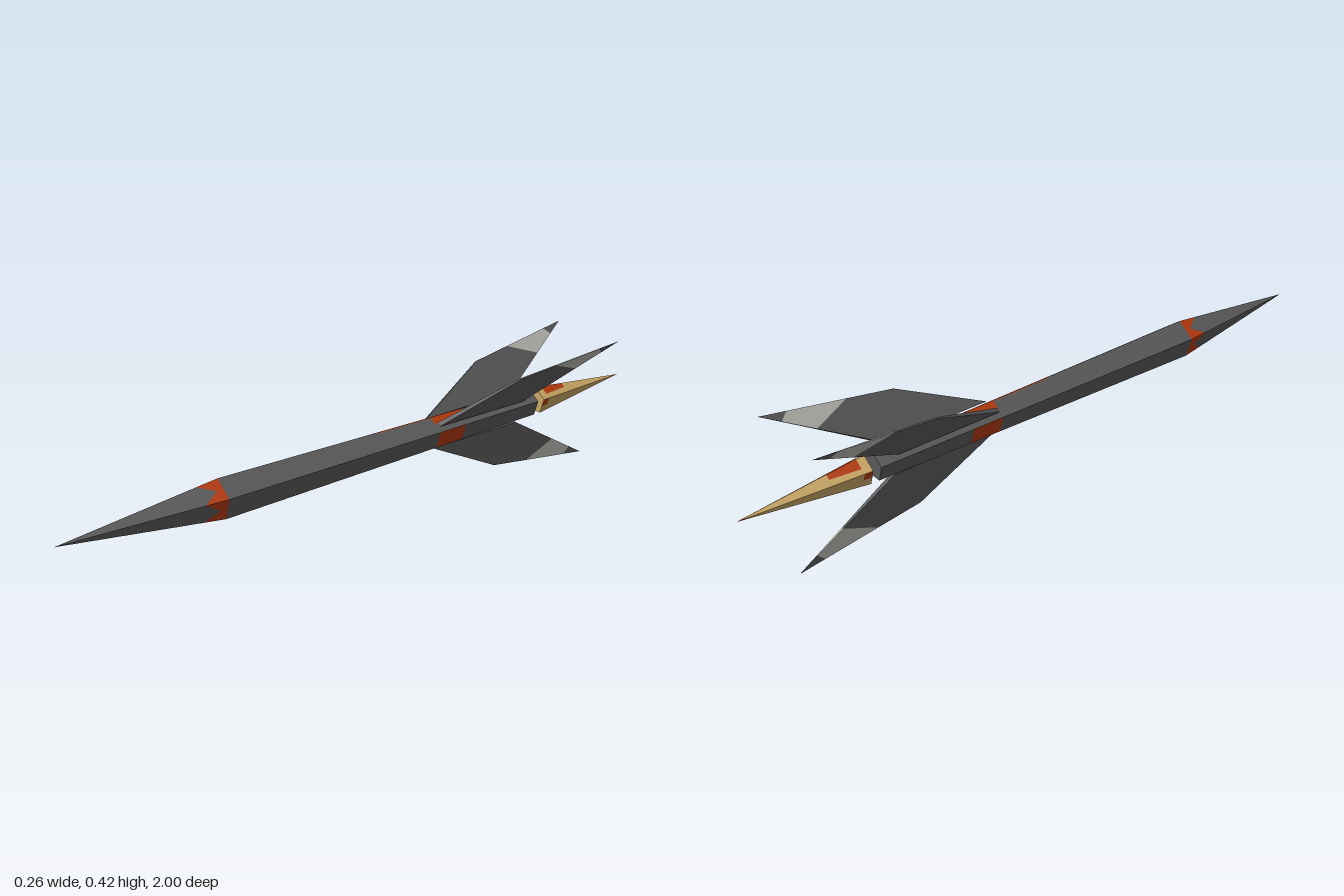
import * as THREE from 'three';
import { ConvexGeometry } from 'three/addons/geometries/ConvexGeometry.js';

const mat = (name, color) => {
  const m = new THREE.MeshStandardMaterial({ color });
  m.name = name;
  return m;
};

export function createModel() {
  const grey = mat('dark grey', 0x5a5a5a);
  const orange = mat('burnt orange', 0xb53a0e);
  const tan = mat('flame tan', 0xc8a664);
  const pale = mat('pale grey', 0xb6b6b0);
  const rocket = new THREE.Group();
  rocket.name = 'rocket';

  const addMesh = (parent, name, geometry, material) => {
    const mesh = new THREE.Mesh(geometry, material);
    mesh.name = name;
    parent.add(mesh);
  };

  // A five-sided tapered section along z; panels are drawn on its sides as
  // [u, z] corners, with u running 0..1 across side k (0 is the top right one).
  function section(name, [z0, r0, y0], [z1, r1, y1]) {
    const group = new THREE.Group();
    group.name = name;
    rocket.add(group);
    const lists = new Map();
    const point = (k, u, z) => {
      const f = (z - z0) / (z1 - z0);
      const r = r0 + (r1 - r0) * f;
      const corner = (i) => {
        const a = Math.PI / 2 - (i * Math.PI * 2) / 5;
        return new THREE.Vector3(Math.cos(a) * r, y0 + (y1 - y0) * f + Math.sin(a) * r, z);
      };
      return corner(k).lerp(corner(k + 1), u);
    };
    // Fan of triangles from the first corner, turned towards "outward"
    const fan = (material, pts, outward) => {
      if (!lists.has(material)) lists.set(material, []);
      const list = lists.get(material);
      for (let i = 1; i < pts.length - 1; i++) {
        const [a, b, c] = [pts[0], pts[i], pts[i + 1]];
        const n = b.clone().sub(a).cross(c.clone().sub(a));
        const tri = n.dot(outward) < 0 ? [a, c, b] : [a, b, c];
        tri.forEach((p) => list.push(p.x, p.y, p.z));
      }
    };
    return {
      panel(material, k, corners) {
        const out = point(k, 0.5, z0).sub(new THREE.Vector3(0, y0, z0));
        fan(material, corners.map(([u, z]) => point(k, u, z)), out);
      },
      cap(material, z, dir) {
        fan(material, [0, 1, 2, 3, 4].map((k) => point(k, 0, z)), new THREE.Vector3(0, 0, dir));
      },
      finish() {
        for (const [material, list] of lists) {
          const g = new THREE.BufferGeometry();
          g.setAttribute('position', new THREE.Float32BufferAttribute(list, 3));
          g.computeVertexNormals();
          addMesh(group, `${name} ${material.name}`, g, material);
        }
      },
    };
  }
  const strip = (za, zb, ua = 0, ub = 1) => [[ua, za], [ub, za], [ub, zb], [ua, zb]];
  const mirror = (k, pts) => (k === 4 ? pts.map(([u, z]) => [1 - u, z]) : pts);

  // Nose cone with a notched band round its base
  const nose = section('nose', [0.53, 0.059, 0.232], [1, 0, 0.237]);
  for (let k = 0; k < 5; k++) {
    nose.panel(orange, k, [[0.5, 0.55], [0, 0.595], [0, 0.53], [1, 0.53], [1, 0.595]]);
    nose.panel(grey, k, [[0.5, 1], [0, 0.595], [0.5, 0.55], [1, 0.595]]);
  }
  nose.finish();

  // Body tube
  const body = section('body', [0.53, 0.059, 0.232], [-0.6, 0.043, 0.236]);
  for (const k of [0, 4]) {
    const put = (m, pts) => body.panel(m, k, mirror(k, pts));
    put(grey, strip(0.53, 0));
    put(grey, strip(0, -0.2, 0.05, 1));
    put(orange, strip(0, -0.2, 0, 0.05));
    put(orange, [[0, -0.2], [0.5, -0.2], [0.35, -0.32], [0, -0.32]]);
    put(grey, [[0.5, -0.2], [1, -0.2], [1, -0.32], [0.35, -0.32]]);
    put(grey, strip(-0.32, -0.6));
  }
  for (const k of [1, 3]) {
    body.panel(grey, k, strip(0.53, -0.2));
    body.panel(orange, k, strip(-0.2, -0.3));
    body.panel(grey, k, strip(-0.3, -0.6));
  }
  body.panel(grey, 2, strip(0.53, -0.6));
  body.cap(grey, -0.6, -1);
  body.finish();

  // Exhaust flame, floating just behind the body
  const flame = section('flame', [-0.625, 0.043, 0.236], [-1, 0, 0.238]);
  for (let k = 0; k < 5; k++) {
    const put = (m, pts) => flame.panel(m, k, mirror(k, pts));
    if (k === 0 || k === 4) {
      put(tan, strip(-0.625, -0.65));
      put(orange, [[0, -0.65], [0.65, -0.65], [0.45, -0.74], [0, -0.74]]);
      put(tan, [[0.65, -0.65], [1, -0.65], [1, -0.74], [0.45, -0.74]]);
    } else if (k === 2) {
      put(tan, strip(-0.625, -0.74));
    } else {
      const [a, b] = k === 1 ? [0, 0.5] : [0.5, 1];
      put(orange, strip(-0.625, -0.65, a, b));
      put(tan, strip(-0.625, -0.65, 0.5 - a, 1.5 - b));
      put(tan, strip(-0.65, -0.74));
    }
    put(tan, strip(-0.74, -0.975));
    put(orange, [[0.5, -1], [0, -0.975], [1, -0.975]]);
  }
  flame.cap(tan, -0.625, 1);
  flame.finish();

  // Swept fins as [z, distance from root], thinning towards the tip
  const SPAN = 0.183;
  const front = [-0.205, 0], outer = [-0.46, 0.127], rear = [-0.54, 0], tip = [-0.845, SPAN];
  const mix = (a, b, f) => [a[0] + (b[0] - a[0]) * f, a[1] + (b[1] - a[1]) * f];
  const o1 = mix(outer, tip, 0.36), o2 = mix(outer, tip, 0.8);
  const i1 = mix(rear, tip, 0.55), i2 = mix(rear, tip, 0.82);
  const slab = (pts) => {
    const corners = [];
    for (const [z, t] of pts) {
      const h = 0.0003 + 0.007 * (1 - t / SPAN);
      corners.push(new THREE.Vector3(h, t, z), new THREE.Vector3(-h, t, z));
    }
    return new ConvexGeometry(corners);
  };
  const blade = slab([front, outer, o1, i1, rear]);
  const patch = slab([o1, o2, i2, i1]);
  const point = slab([o2, tip, i2]);
  const lean = Math.atan2(0.1, 0.15);
  for (const [name, x, y, angle] of [
    ['leftFin', 0.029, 0.267, -lean],
    ['rightFin', -0.029, 0.267, lean],
    ['lowerFin', 0, 0.184, Math.PI],
  ]) {
    const fin = new THREE.Group();
    fin.name = name;
    fin.position.set(x, y, 0);
    fin.rotation.z = angle;
    addMesh(fin, 'fin blade', blade, grey);
    addMesh(fin, 'fin patch', patch, pale);
    addMesh(fin, 'fin point', point, grey);
    rocket.add(fin);
  }
  return rocket;
}
